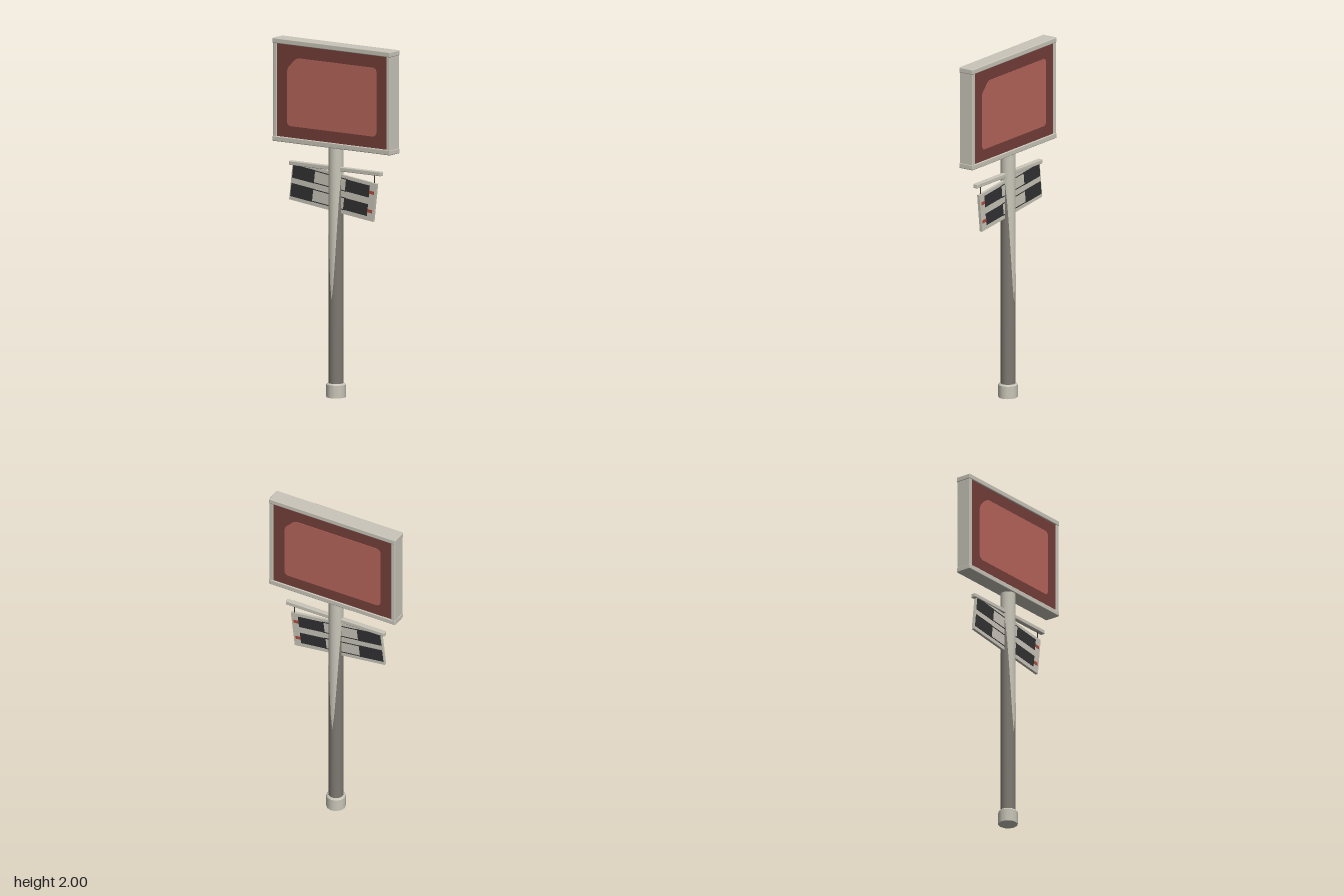
import * as THREE from 'three';
import { RoundedBoxGeometry } from 'three/addons/geometries/RoundedBoxGeometry.js';

const material = (name, color, side = THREE.FrontSide) => {
  const m = new THREE.MeshStandardMaterial({ color, side });
  m.name = name;
  return m;
};

export function createModel() {
  const paleMetal = material('pale metal', 0xcac6ba);
  const dirtyMetal = material('dirty metal', 0x7e7971);
  const darkRed = material('dark red', 0x743f3a);
  const lightRed = material('light red', 0xb6655b);
  const black = material('charcoal', 0x323234);
  const signalRed = material('signal red', 0xb04a3a);

  const root = new THREE.Group();
  root.name = 'roadsideSign';

  const add = (parent, name, geometry, mat, x = 0, y = 0, z = 0) => {
    const mesh = new THREE.Mesh(geometry, mat);
    mesh.name = name;
    mesh.position.set(x, y, z);
    parent.add(mesh);
    return mesh;
  };
  const box = (parent, name, mat, w, h, d, x, y, z) =>
    add(parent, name, new THREE.BoxGeometry(w, h, d), mat, x, y, z);

  // Foot collar with a small bevel
  add(root, 'footCollar', new THREE.CylinderGeometry(0.055, 0.055, 0.072, 12), paleMetal, 0, 0.036, 0);
  add(root, 'footBevel', new THREE.CylinderGeometry(0.048, 0.055, 0.008, 12), paleMetal, 0, 0.076, 0);

  // Pole: the clean upper paint runs down in a tongue on both broad sides
  const radius = 0.042, bottom = 0.075, top = 1.425;
  const tideLine = (z) => 0.55 + 0.72 * Math.pow(Math.min(1, Math.abs(z) / radius), 1.5);
  const poleSection = (upper) => {
    const g = new THREE.CylinderGeometry(radius, radius, 1, 24, 1, true);
    const p = g.attributes.position;
    for (let i = 0; i < p.count; i++) {
      const isTop = p.getY(i) > 0;
      const line = tideLine(p.getZ(i));
      p.setY(i, upper ? (isTop ? top : line) : (isTop ? line : bottom));
    }
    return g;
  };
  add(root, 'poleLower', poleSection(false), dirtyMetal);
  add(root, 'poleUpper', poleSection(true), paleMetal);

  // Large sign cabinet
  const cabinet = new THREE.Group();
  cabinet.name = 'signCabinet';
  root.add(cabinet);
  for (const y of [1.43, 1.985]) {
    add(cabinet, y > 1.5 ? 'topRail' : 'bottomRail', new RoundedBoxGeometry(0.094, 0.03, 0.81, 2, 0.005), paleMetal, 0, y, 0);
  }
  for (const s of [1, -1]) {
    add(cabinet, 'sidePost', new RoundedBoxGeometry(0.09, 0.535, 0.026, 2, 0.005), paleMetal, 0, 1.7075, s * 0.39);
  }
  box(cabinet, 'signPanel', darkRed, 0.08, 0.535, 0.77, 0, 1.7075, 0);

  // Lighter field on each face, with one large clipped corner
  const w = 0.307, h = 0.195, r = 0.028;
  const field = new THREE.Shape();
  field.moveTo(-w + r, -h);
  field.lineTo(w - r, -h);
  field.quadraticCurveTo(w, -h, w, -h + r);
  field.lineTo(w, h - r);
  field.quadraticCurveTo(w, h, w - r, h);
  field.lineTo(-w + 0.09, h);
  field.quadraticCurveTo(-w + 0.06, h, -w + 0.04, h - 0.025);
  field.lineTo(-w + 0.015, h - 0.05);
  field.quadraticCurveTo(-w, h - 0.065, -w, h - 0.095);
  field.lineTo(-w, -h + r);
  field.quadraticCurveTo(-w, -h, -w + r, -h);
  for (const s of [1, -1]) {
    const plate = add(cabinet, 'lightField', new THREE.ExtrudeGeometry(field, { depth: 0.002, bevelEnabled: false }),
      lightRed, s * 0.04, 1.705, 0);
    plate.rotation.y = s * Math.PI / 2;
  }

  // Cross arm and hangers
  add(root, 'crossArm', new RoundedBoxGeometry(0.028, 0.024, 0.63, 2, 0.004), paleMetal, 0, 1.295, 0);
  for (const z of [0.265, -0.285]) {
    add(root, 'hanger', new THREE.CylinderGeometry(0.003, 0.003, 0.06, 6), black, 0, 1.257, z);
  }

  // Crooked small board; its details show through on both faces
  const board = new THREE.Group();
  board.name = 'hangingBoard';
  board.position.set(0, 1.162, -0.016);
  board.rotation.x = 0.118;
  root.add(board);
  box(board, 'boardPlate', paleMetal, 0.016, 0.219, 0.581, 0, 0, 0);
  for (const y of [0.056, -0.051]) {
    box(board, 'darkBlock', black, 0.02, 0.068, 0.164, 0, y, 0.164);
    box(board, 'darkBlock', black, 0.02, 0.076, 0.15, 0, y, -0.209);
    for (const s of [1, -1]) {
      box(board, 'thinLine', black, 0.019, 0.005, 0.23, 0, y + s * 0.034, -0.025);
    }
    box(board, 'redMarker', signalRed, 0.02, 0.018, 0.034, 0, y - 0.003, 0.262);
  }
  return root;
}
